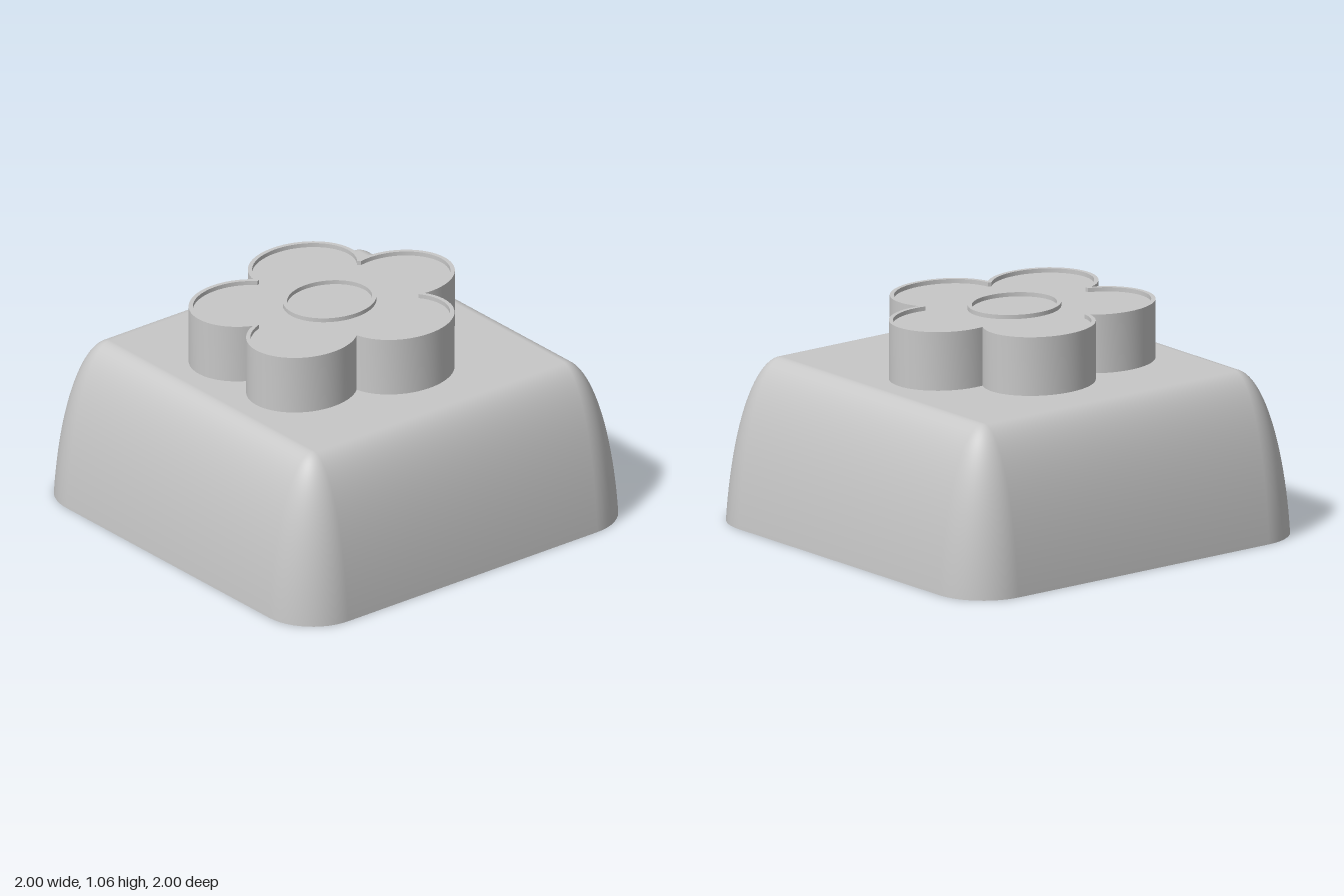
import * as THREE from 'three';
import { toCreasedNormals } from 'three/addons/utils/BufferGeometryUtils.js';

const grey = new THREE.MeshStandardMaterial({ color: 0xc7c7c7, side: THREE.DoubleSide });

const HALF = 0.74, ROUND = 0.26, HEIGHT = 0.78; // top half-width, edge rounding, body height
const LEAN = 0.22; // angle of the walls' curve at the bottom edge
const MOUTH = 0.805, CEILING = 0.69, DEPTH = 0.495; // hollow underside
const FLOWER_TOP = 1.06, RIM = 0.02, RECESS = 0.02;

function add(group, name, geometry) {
  const mesh = new THREE.Mesh(geometry, grey);
  mesh.name = name;
  group.add(mesh);
}

// Extrude a plan shape (its y is -z) upwards from y0 to y1
function slab(shape, y0, y1) {
  const g = new THREE.ExtrudeGeometry(shape, { depth: y1 - y0, bevelEnabled: false, curveSegments: 40 });
  g.rotateX(-Math.PI / 2).translate(0, y0, 0);
  return toCreasedNormals(g, 0.5);
}

const square = (h) => [[-h, -h], [h, -h], [h, h], [-h, h]].map(([x, y]) => new THREE.Vector2(x, y));

// Plan of the body at the bottom: a square with round corners
function roundedOutline(steps) {
  const out = [];
  for (let c = 0; c < 4; c++) {
    const sx = c === 0 || c === 3 ? 1 : -1, sy = c < 2 ? 1 : -1;
    for (let i = 0; i <= steps; i++) {
      const a = (c + i / steps) * Math.PI / 2;
      out.push({ cx: sx * HALF, cy: sy * HALF, nx: Math.cos(a), ny: Math.sin(a) });
    }
  }
  return out;
}

// Body walls: the outline shrinks along an elliptical arc towards the top
function bodyWalls() {
  const outline = roundedOutline(12), rows = 24, n = outline.length;
  const rx = ROUND / Math.cos(LEAN), ry = HEIGHT / (1 - Math.sin(LEAN));
  const pos = [], nor = [], idx = [];
  for (let r = 0; r <= rows; r++) {
    const t = LEAN + (r / rows) * (Math.PI / 2 - LEAN), c = Math.cos(t), s = Math.sin(t);
    for (const p of outline) {
      pos.push(p.cx + p.nx * rx * c, ry * (s - Math.sin(LEAN)), -(p.cy + p.ny * rx * c));
      const v = new THREE.Vector3(p.nx * c / rx, s / ry, -p.ny * c / rx).normalize();
      nor.push(v.x, v.y, v.z);
    }
  }
  for (let r = 0; r < rows; r++) {
    for (let i = 0; i < n; i++) {
      const a = r * n + i, b = r * n + (i + 1) % n;
      idx.push(a, b, b + n, a, b + n, a + n);
    }
  }
  const g = new THREE.BufferGeometry();
  g.setAttribute('position', new THREE.Float32BufferAttribute(pos, 3));
  g.setAttribute('normal', new THREE.Float32BufferAttribute(nor, 3));
  g.setIndex(idx);
  return g;
}

// Five oval petals, each an arc from one notch to the next
function flowerPoints(inset) {
  const k = 1 - inset * 2.2;
  const petals = [[0, 0.375, 0.27], [-0.34, 0.09, 0.278], [-0.21, -0.374, 0.27], [0.21, -0.374, 0.27], [0.34, 0.09, 0.278]];
  const notches = [[0.23, 0.33], [-0.23, 0.33], [-0.372, -0.182], [0, -0.492], [0.372, -0.182]];
  const pts = [];
  petals.forEach(([cx, cy, height], i) => {
    const rx = 0.236 - inset, ry = height - inset;
    const angle = ([x, y]) => Math.atan2((y * k - cy) / ry, (x * k - cx) / rx);
    const a0 = angle(notches[i]);
    let a1 = angle(notches[(i + 1) % 5]);
    while (a1 <= a0) a1 += Math.PI * 2;
    for (let j = 0; j <= 32; j++) {
      const a = a0 + (a1 - a0) * j / 32;
      const p = new THREE.Vector2(cx + rx * Math.cos(a), cy + ry * Math.sin(a));
      if (!pts.length || (p.distanceTo(pts[pts.length - 1]) > 4e-3 && p.distanceTo(pts[0]) > 4e-3)) pts.push(p);
    }
  });
  return pts;
}

function oval(rx, ry, Type) {
  return new Type().absellipse(0, -0.038, rx, ry, 0, Math.PI * 2, false, 0);
}

export function createModel() {
  const model = new THREE.Group();
  model.name = 'flowerKeycap';

  // Outer shell
  const body = new THREE.Group();
  body.name = 'body';
  model.add(body);
  add(body, 'bodyWalls', bodyWalls());
  add(body, 'bodyTop', new THREE.PlaneGeometry(2 * HALF, 2 * HALF).rotateX(-Math.PI / 2).translate(0, HEIGHT, 0));

  // Bottom edge, facing down
  const edge = new THREE.Shape(roundedOutline(12).map((p) => new THREE.Vector2(p.cx + p.nx * ROUND, p.cy + p.ny * ROUND)));
  edge.holes.push(new THREE.Path(square(MOUTH)));
  add(body, 'bottomEdge', new THREE.ShapeGeometry(edge).rotateX(Math.PI / 2));

  // Tapered hollow
  const hollow = new THREE.CylinderGeometry(CEILING * Math.SQRT2, MOUTH * Math.SQRT2, DEPTH, 4, 1, true)
    .rotateY(Math.PI / 4).translate(0, DEPTH / 2, 0);
  add(body, 'hollowWalls', toCreasedNormals(hollow, 0.1));
  add(body, 'hollowCeiling', new THREE.PlaneGeometry(2 * CEILING, 2 * CEILING).rotateX(Math.PI / 2).translate(0, DEPTH, 0));

  // Mounting stem with a cross-shaped socket
  const stem = new THREE.Shape().absarc(0, 0, 0.313, 0, Math.PI * 2, false);
  const L = 0.255, W = 0.072;
  const cross = [[L, W], [W, W], [W, L], [-W, L], [-W, W], [-L, W], [-L, -W], [-W, -W], [-W, -L], [W, -L], [W, -W], [L, -W]];
  stem.holes.push(new THREE.Path(cross.map(([x, y]) => new THREE.Vector2(x, y))));
  add(model, 'stem', slab(stem, 0, DEPTH));

  // Raised flower: thin rim around a recessed face
  const inner = flowerPoints(RIM);
  const rim = new THREE.Shape(flowerPoints(0));
  rim.holes.push(new THREE.Path(inner));
  add(model, 'flowerRim', slab(rim, HEIGHT, FLOWER_TOP));
  add(model, 'flowerFace', slab(new THREE.Shape(inner), HEIGHT, FLOWER_TOP - RECESS));

  // Oval ring at the flower centre
  const ring = oval(0.198, 0.227, THREE.Shape);
  ring.holes.push(oval(0.178, 0.207, THREE.Path));
  add(model, 'flowerCentreRing', slab(ring, FLOWER_TOP - RECESS, FLOWER_TOP));

  return model;
}
